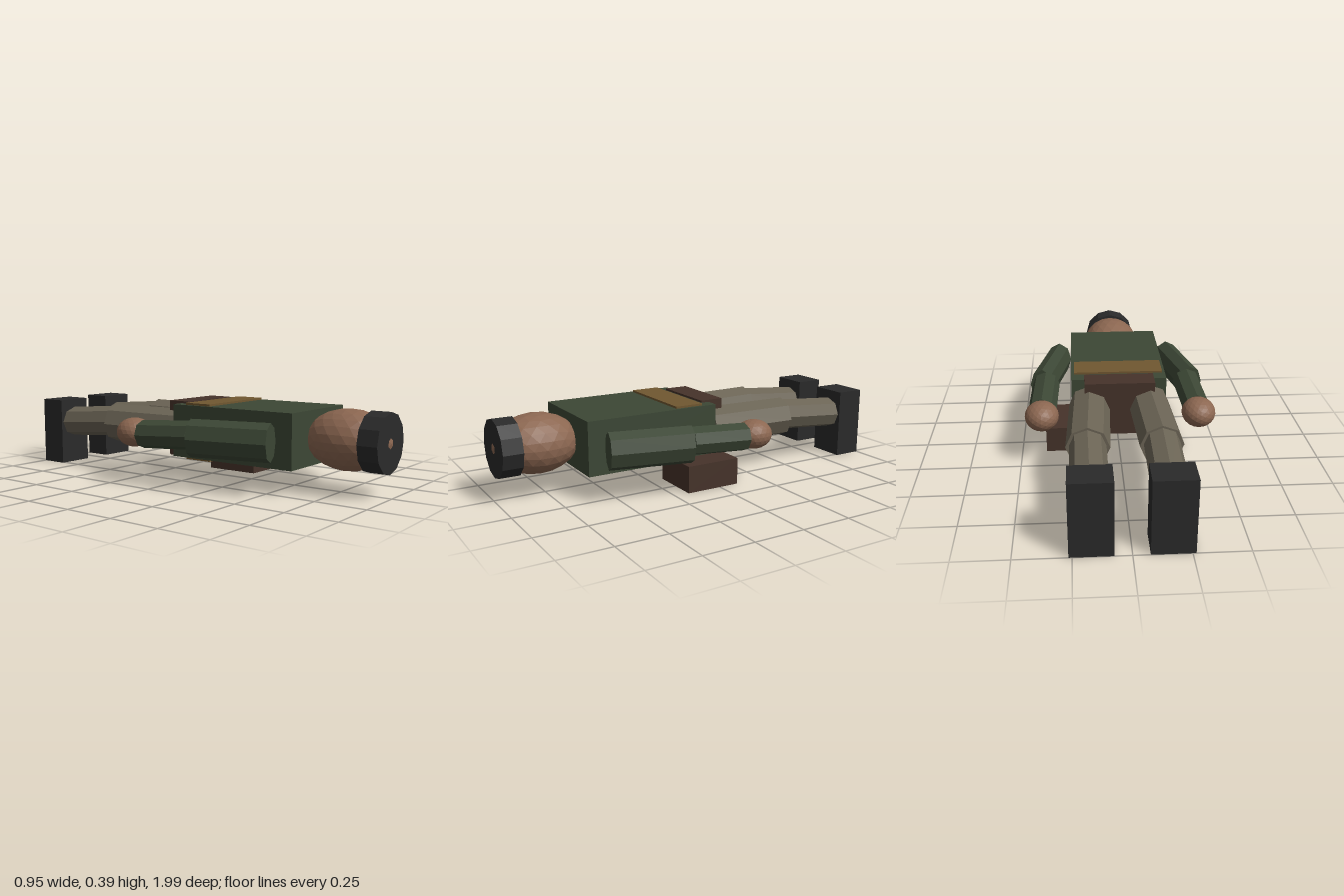
import * as THREE from 'three';

const mat = (color) => new THREE.MeshStandardMaterial({ color, flatShading: true });

export function createModel() {
  const group = new THREE.Group();
  const jacket = mat(0x3c4735), skin = mat(0x8c6751), trousers = mat(0x6b6455);
  const black = mat(0x2a2a2a), leather = mat(0x46332a), strap = mat(0x705730);

  const add = (name, geometry, material) => {
    const mesh = new THREE.Mesh(geometry, material);
    mesh.name = name;
    group.add(mesh);
    return mesh;
  };
  // box from its lower and upper corners
  const box = (name, lo, hi, material) => {
    const size = hi.map((v, i) => v - lo[i]);
    add(name, new THREE.BoxGeometry(...size), material)
      .position.set(...hi.map((v, i) => (v + lo[i]) / 2));
  };
  // faceted ellipsoid
  const ball = (name, center, radii, detail, material) => {
    const mesh = add(name, new THREE.IcosahedronGeometry(1, detail), material);
    mesh.position.set(...center);
    mesh.scale.set(...radii);
  };
  // eight-sided limb between two points; rx across, ry in height
  const limb = (name, from, to, rx, ry, material) => {
    const a = new THREE.Vector3(...from), b = new THREE.Vector3(...to);
    const geometry = new THREE.CylinderGeometry(1, 1, a.distanceTo(b), 8);
    geometry.rotateX(Math.PI / 2).scale(rx, ry, 1);
    const mesh = add(name, geometry, material);
    mesh.position.copy(a).add(b).multiplyScalar(0.5);
    mesh.lookAt(b);
  };

  // trunk
  box('torso', [-0.24, 0.118, -0.06], [0.24, 0.378, 0.625], jacket);
  box('waistBand', [-0.225, 0.108, 0.01], [0.225, 0.388, 0.155], strap);
  box('hips', [-0.175, 0.11, -0.138], [0.175, 0.388, -0.018], leather);
  box('pouch', [0.125, 0, -0.102], [0.375, 0.131, 0.177], leather);

  // head and cap
  ball('head', [0, 0.247, 0.785], [0.158, 0.144, 0.207], 3, skin);
  const cap = add('cap', new THREE.CylinderGeometry(0.141, 0.141, 0.097, 12), black);
  cap.rotation.x = Math.PI / 2;
  cap.position.set(0, 0.247, 0.938);

  // arms and legs, mirrored
  for (const [side, s] of [['left', 1], ['right', -1]]) {
    limb(side + 'UpperArm', [s * 0.307, 0.247, 0.557], [s * 0.395, 0.247, 0.175], 0.067, 0.09, jacket);
    limb(side + 'Forearm', [s * 0.375, 0.257, 0.175], [s * 0.389, 0.24, -0.125], 0.071, 0.069, jacket);
    ball(side + 'Hand', [s * 0.389, 0.245, -0.183], [0.084, 0.072, 0.094], 3, skin);
    limb(side + 'Thigh', [s * 0.15, 0.247, -0.07], [s * 0.17, 0.247, -0.52], 0.103, 0.1, trousers);
    limb(side + 'Shin', [s * 0.17, 0.257, -0.51], [s * 0.17, 0.228, -0.87], 0.085, 0.08, trousers);
    box(side + 'Boot', [s * 0.17 - 0.095, 0, -1], [s * 0.17 + 0.095, 0.353, -0.855], black);
  }
  return group;
}
